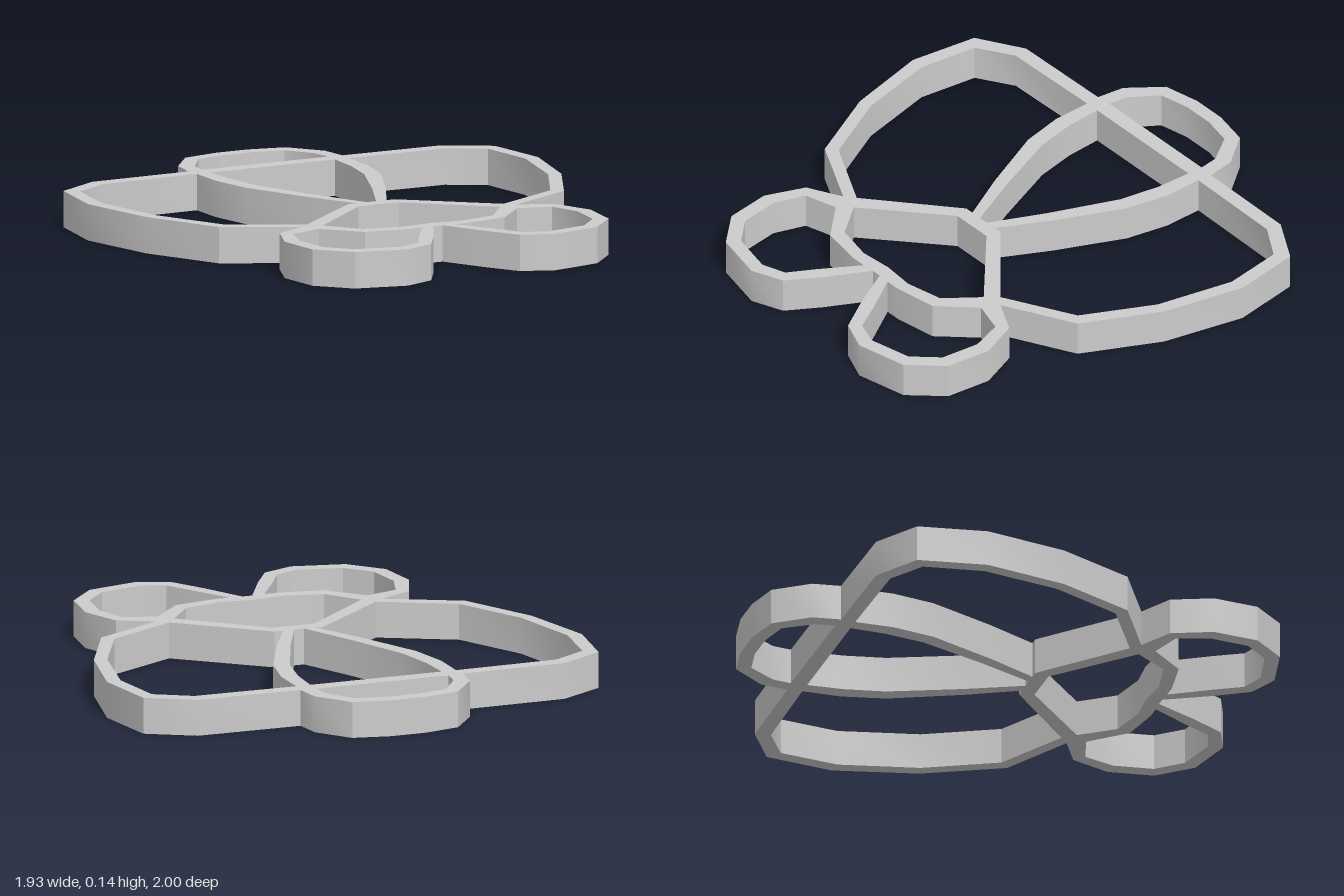
import * as THREE from 'three';
import { toCreasedNormals } from 'three/addons/utils/BufferGeometryUtils.js';

const HEIGHT = 0.14;

// Points are [x, z] on the ground plane.
const mirror = (pts) => pts.map(([x, z]) => [-x, z]).reverse();
const symmetric = (half) => [...half, ...mirror(half.filter(([x]) => x > 0))];
const vectors = (pts) => pts.map(([x, z]) => new THREE.Vector2(x, z));

// Outer silhouette, right half from the back round to the front notch
const silhouette = [
  [0.07, -1], [0.215, -0.97], [0.315, -0.84], [0.33, -0.73],            // back loop
  [0.745, -0.725], [0.925, -0.62], [0.965, -0.35], [0.89, -0.025],      // side loop
  [0.74, 0.275], [0.46, 0.42],
  [0.595, 0.49], [0.657, 0.645], [0.635, 0.825], [0.52, 0.95],          // front lobe
  [0.315, 0.995], [0.19, 0.945], [0.11, 0.815], [0.02, 0.645],
];

// Openings that straddle the centre line (right halves)
const backOpening = [[0.065, -0.945], [0.185, -0.92], [0.26, -0.81], [0.27, -0.735]];
const petalOpening = [
  [0.267, -0.672], [0.26, -0.53], [0.23, -0.37], [0.12, -0.1], [0.02, 0.115],
];
const centreOpening = [
  [0.085, 0.172], [0.38, 0.435], [0.28, 0.565], [0.13, 0.597], [0, 0.586],
];

// Openings that occur once on each side
const sideOpening = [
  [0.325, -0.672], [0.735, -0.665], [0.875, -0.58], [0.908, -0.345], [0.84, -0.037],
  [0.7, 0.24], [0.42, 0.387], [0.1, 0.115], [0.065, 0.115],
  [0.17, -0.085], [0.29, -0.35], [0.325, -0.52],
];
const lobeOpening = [
  [0.425, 0.487], [0.555, 0.525], [0.597, 0.65], [0.578, 0.805], [0.49, 0.9],
  [0.32, 0.938], [0.225, 0.905], [0.165, 0.8], [0.07, 0.648],
  [0.13, 0.648], [0.3, 0.62],
];

export function createModel() {
  const group = new THREE.Group();
  group.name = 'cutter';

  const shape = new THREE.Shape(vectors(symmetric(silhouette)));
  const openings = [
    ...[backOpening, petalOpening, centreOpening].map(symmetric),
    ...[sideOpening, lobeOpening].flatMap((o) => [o, mirror(o)]),
  ];
  for (const o of openings) shape.holes.push(new THREE.Path(vectors(o)));

  // Raise the outline into a band and lay it flat on the ground
  let geometry = new THREE.ExtrudeGeometry(shape, { depth: HEIGHT, bevelEnabled: false });
  geometry.rotateX(Math.PI / 2);
  geometry.translate(0, HEIGHT, 0);
  geometry = toCreasedNormals(geometry, 0.6);

  const band = new THREE.Mesh(geometry, new THREE.MeshStandardMaterial({ color: 0xcccccc }));
  band.name = 'outlineBand';
  group.add(band);
  return group;
}
